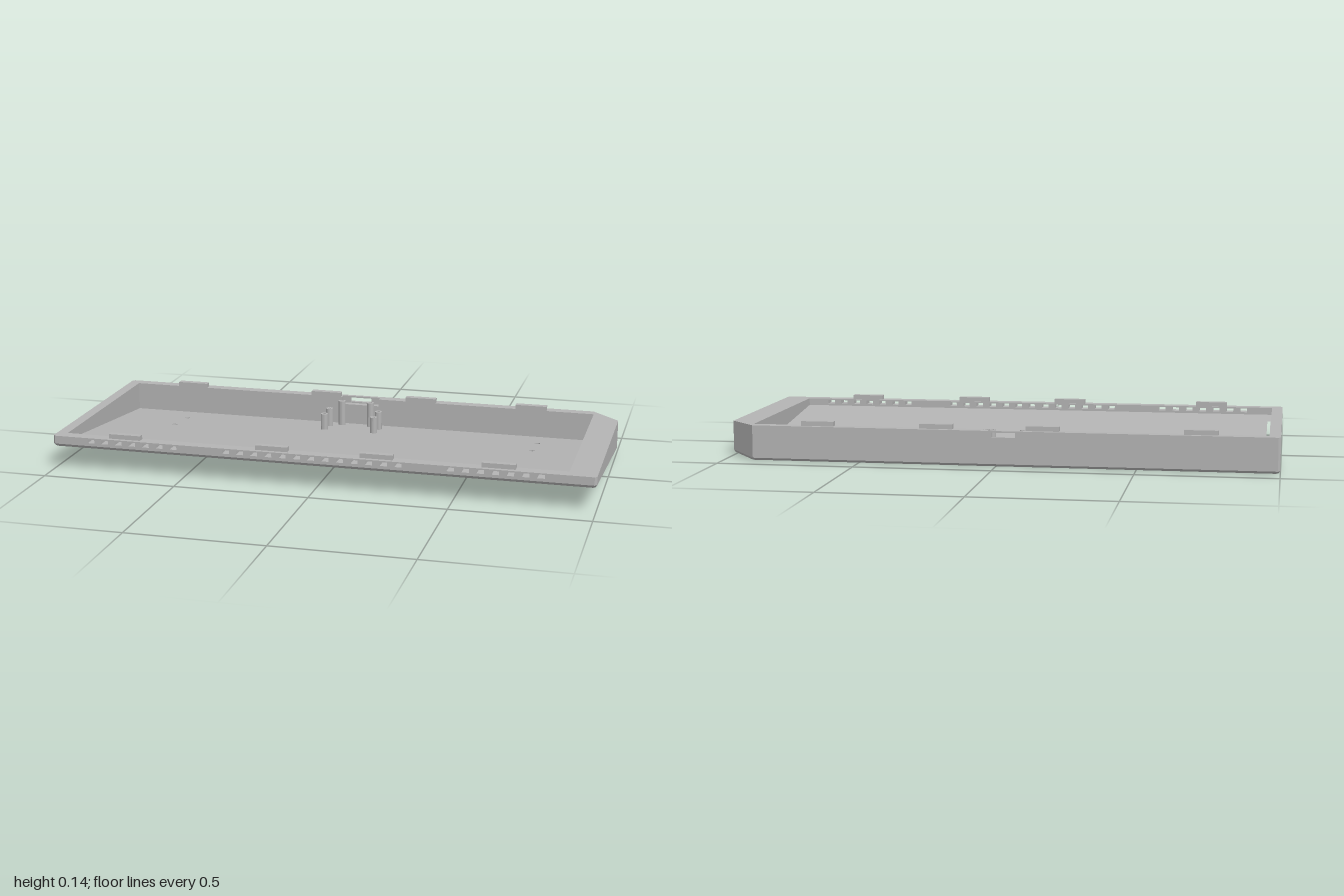
import * as THREE from 'three';

const RIM = 0.128, FLOOR = 0.017, POCKET = 0.009;
// Height of the tilted underside at depth z
const under = (z) => 0.0445 + 0.1085 * z;

const toV2 = (pts) => pts.map(([x, z]) => new THREE.Vector2(x, -z));
const rect = (x0, x1, z0, z1) => new THREE.Path(toV2([[x0, z0], [x1, z0], [x1, z1], [x0, z1]]));
const disc = (x, z, r) => new THREE.Path().absarc(x, -z, r, 0, Math.PI * 2, false);

function roundRect(x0, x1, z0, z1, r) {
  const p = new THREE.Path();
  p.absarc(x1 - r, -z0 - r, r, 0, Math.PI / 2, false);
  p.absarc(x0 + r, -z0 - r, r, Math.PI / 2, Math.PI, false);
  p.absarc(x0 + r, -z1 + r, r, Math.PI, Math.PI * 1.5, false);
  p.absarc(x1 - r, -z1 + r, r, Math.PI * 1.5, Math.PI * 2, false);
  p.closePath();
  return p;
}

// Plan outline extruded between two height functions of z, with optional edge bevel below
function slab(outline, holes, low, high, bevel = 0) {
  const shape = new THREE.Shape(toV2(outline));
  shape.holes.push(...holes);
  const g = new THREE.ExtrudeGeometry(shape, { depth: 1, bevelEnabled: false, curveSegments: 8 });
  g.rotateX(-Math.PI / 2);
  const p = g.attributes.position;
  for (let i = 0; i < p.count; i++) {
    let x = p.getX(i), z = p.getZ(i);
    const t = p.getY(i);
    if (t < 0.5) {
      if (Math.abs(x) > 0.97) x -= Math.sign(x) * bevel;
      if (Math.abs(z) > 0.39) z -= Math.sign(z) * bevel;
    }
    p.setXYZ(i, x, low(z) + t * (high(z) - low(z)), z);
  }
  g.computeVertexNormals();
  return g;
}

// Upright wall panel with rectangular openings
function panel(x0, x1, y0, y1, z0, z1, openings) {
  const box = (a, b, c, d) => [[a, c], [b, c], [b, d], [a, d]].map(([x, y]) => new THREE.Vector2(x, y));
  const s = new THREE.Shape(box(x0, x1, y0, y1));
  for (const o of openings) s.holes.push(new THREE.Path(box(...o)));
  const g = new THREE.ExtrudeGeometry(s, { depth: z1 - z0, bevelEnabled: false });
  return g.translate(0, 0, z0);
}

export function createModel() {
  const model = new THREE.Group();
  model.name = 'keyboardCase';
  const plastic = new THREE.MeshStandardMaterial({ color: 0xb4b4b4 });
  plastic.name = 'grey plastic';
  const add = (name, geo, x = 0, y = 0, z = 0) => {
    const m = new THREE.Mesh(geo, plastic);
    m.name = name;
    m.position.set(x, y, z);
    model.add(m);
  };
  const block = (name, x0, x1, y0, y1, z0, z1) =>
    add(name, new THREE.BoxGeometry(x1 - x0, y1 - y0, z1 - z0), (x0 + x1) / 2, (y0 + y1) / 2, (z0 + z1) / 2);

  // Outline with one clipped back corner
  const c = 0.008;
  const outline = [[-1, -0.41 + c], [-1 + c, -0.41], [0.895, -0.41], [1, -0.305],
    [1, 0.41 - c], [1 - c, 0.41], [-1 + c, 0.41], [-1, 0.41 - c]];
  const slots = () => [-0.95, 0.95].map((x) => rect(x - 0.006, x + 0.006, -0.3, 0.29));

  // Underside: shallow pocket, foot recesses and side slots
  const feet = [];
  for (const x of [-0.89, 0.89]) for (const z of [-0.31, 0.305]) feet.push(disc(x, z, 0.03));
  add('underside', slab(outline, [...slots(), ...feet, roundRect(-0.865, 0.865, -0.255, -0.03, 0.04)],
    under, (z) => under(z) + POCKET, 0.006));

  // Floor with screw holes
  const screws = [];
  for (const x of [-0.705, 0.705]) for (const z of [-0.235, -0.085]) screws.push(disc(x, z, 0.011));
  const floorTop = (z) => under(z) + FLOOR;
  add('floor', slab(outline, [...slots(), ...screws], (z) => under(z) + POCKET, floorTop));

  // Side walls, wrapping round to the back port and the front vents
  const rim = () => RIM;
  add('rightHandWall', slab([[-0.1, -0.41], [-1 + c, -0.41], [-1, -0.41 + c], [-1, 0.41 - c], [-1 + c, 0.41],
    [-0.9, 0.41], [-0.9, 0.365], [-0.96, 0.365], [-0.96, -0.37], [-0.1, -0.37]], [], floorTop, rim));
  add('leftHandWall', slab([[0.05, -0.41], [0.895, -0.41], [1, -0.305], [1, 0.41 - c], [1 - c, 0.41],
    [0.88, 0.41], [0.88, 0.365], [0.9, 0.365], [0.9, -0.37], [0.05, -0.37]], [], floorTop, rim));

  // Front wall with three rows of vents
  const vents = [];
  for (const [start, count] of [[-0.85, 7], [-0.332, 13], [0.49, 7]])
    for (let i = 0; i < count; i++) {
      const x = start + i * 0.053;
      vents.push([x - 0.013, x + 0.013, 0.109, 0.123]);
    }
  add('frontWall', panel(-0.9, 0.88, 0.1, RIM, 0.365, 0.41, vents));

  // Back port: thin outer skin with an opening, and a ledge inside
  add('portWall', panel(-0.1, 0.05, 0.01, RIM, -0.41, -0.395, [[-0.07, 0.015, 0.105, 0.122]]));
  block('portLedge', -0.1, 0.05, 0.012, 0.1, -0.395, -0.37);

  // Locating tabs along both long rims
  for (const x of [-0.725, -0.165, 0.22, 0.657]) {
    block('backTab', x - 0.06, x + 0.06, RIM - 0.003, 0.145, -0.393, -0.368);
    block('frontTab', x - 0.06, x + 0.06, RIM - 0.003, 0.145, 0.369, 0.394);
  }

  // Hollow circuit board posts
  const posts = [[-0.09, -0.335, 0.123], [0.025, -0.335, 0.123]];
  for (const x of [-0.13, 0.068]) for (const z of [-0.29, -0.21]) posts.push([x, z, 0.102]);
  for (const [x, z, top] of posts) {
    const base = under(z) + 0.013;
    const profile = [[0.014, base], [0.014, top], [0.006, top], [0.006, top - 0.03], [0, top - 0.03]];
    const g = new THREE.LatheGeometry(profile.map(([r, y]) => new THREE.Vector2(r, y)), 16).toNonIndexed();
    g.computeVertexNormals();
    add('boardPost', g, x, 0, z);
  }
  return model;
}
